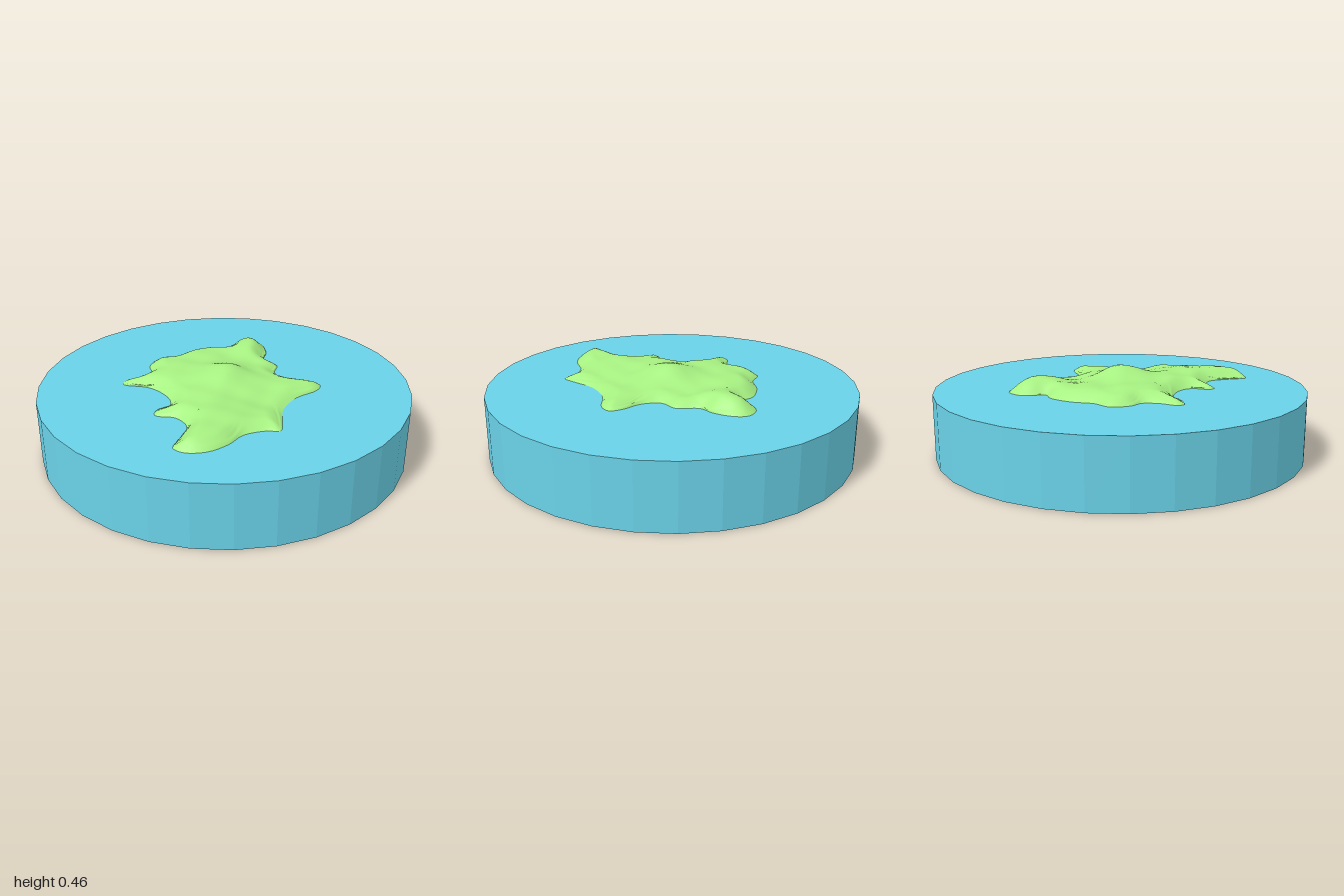
import * as THREE from 'three';

const TOP = 0.35;

// Coastline as x, z pairs, clockwise seen from above
const COAST = [
  0, -0.46, 0.14, -0.45, 0.21, -0.40, 0.26, -0.45, 0.33, -0.48, 0.41, -0.45, 0.43, -0.38,
  0.40, -0.27, 0.35, -0.20, 0.37, -0.08, 0.31, 0.0, 0.34, 0.10, 0.43, 0.18, 0.46, 0.24,
  0.41, 0.29, 0.27, 0.32, 0.14, 0.41, 0.07, 0.53, 0.02, 0.60, -0.04, 0.57, -0.16, 0.56,
  -0.26, 0.61, -0.38, 0.63, -0.48, 0.59, -0.51, 0.53, -0.47, 0.49, -0.41, 0.425, -0.37, 0.36,
  -0.39, 0.26, -0.47, 0.20, -0.46, 0.16, -0.37, 0.13, -0.34, 0.06, -0.36, -0.06, -0.40, -0.13,
  -0.50, -0.21, -0.48, -0.25, -0.39, -0.26, -0.31, -0.30, -0.29, -0.38, -0.21, -0.45, -0.11, -0.43,
];

// Hills and hollows: x, z, height, spread
const HILLS = [
  [0, 0.01, 0.07, 0.10], [0.30, -0.32, 0.035, 0.09], [-0.36, 0.50, 0.015, 0.12],
  [-0.20, 0.36, 0.016, 0.08], [-0.20, 0.14, 0.018, 0.09], [-0.20, -0.20, 0.018, 0.10],
  [0.02, -0.32, 0.016, 0.08], [0.10, 0.36, -0.018, 0.09], [0.20, -0.10, -0.012, 0.08],
];

function islandGeometry() {
  const points = [];
  for (let i = 0; i < COAST.length; i += 2) points.push(new THREE.Vector3(COAST[i], 0, COAST[i + 1]));
  const n = 168, rings = 28;
  const coast = new THREE.CatmullRomCurve3(points, true).getPoints(n).slice(0, n);
  const centre = new THREE.Vector3(-0.03, 0, 0.08);

  // Rounded shore rising to a gently hilly plateau
  const height = (p) => {
    let d = Infinity;
    for (const c of coast) d = Math.min(d, Math.hypot(p.x - c.x, p.z - c.z));
    const shore = Math.sin(Math.min(1, d / 0.09) * Math.PI / 2);
    let h = 0.04 + 0.003 * Math.sin(p.x * 31) * Math.cos(p.z * 27);
    for (const [x, z, a, s] of HILLS) h += a * Math.exp(-((p.x - x) ** 2 + (p.z - z) ** 2) / (2 * s * s));
    return TOP + shore * h;
  };

  // Rings from the coast inwards, closed by a centre vertex
  const pos = [], index = [];
  for (let r = 0; r < rings; r++) {
    const t = 1 - (r / rings) ** 1.4;
    for (const c of coast) {
      const p = centre.clone().lerp(c, t);
      pos.push(p.x, r === 0 ? TOP : height(p), p.z);
    }
  }
  pos.push(centre.x, height(centre), centre.z);
  for (let r = 0; r < rings; r++) {
    for (let i = 0; i < n; i++) {
      const a = r * n + i, b = r * n + (i + 1) % n;
      if (r === rings - 1) index.push(a, rings * n, b);
      else index.push(a, a + n, b, b, a + n, b + n);
    }
  }
  const geo = new THREE.BufferGeometry();
  geo.setAttribute('position', new THREE.Float32BufferAttribute(pos, 3));
  geo.setIndex(index);
  geo.computeVertexNormals();
  return geo;
}

export function createModel() {
  const group = new THREE.Group();

  // Faceted disc of water
  const water = new THREE.Mesh(
    new THREE.CylinderGeometry(1, 1, TOP, 32),
    new THREE.MeshStandardMaterial({ color: 0x6ad2e8, flatShading: true }),
  );
  water.name = 'waterDisc';
  water.position.y = TOP / 2;

  // Smooth hilly island
  const island = new THREE.Mesh(
    islandGeometry(),
    new THREE.MeshStandardMaterial({ color: 0xa6f081, side: THREE.DoubleSide }),
  );
  island.name = 'island';

  group.add(water, island);
  return group;
}
